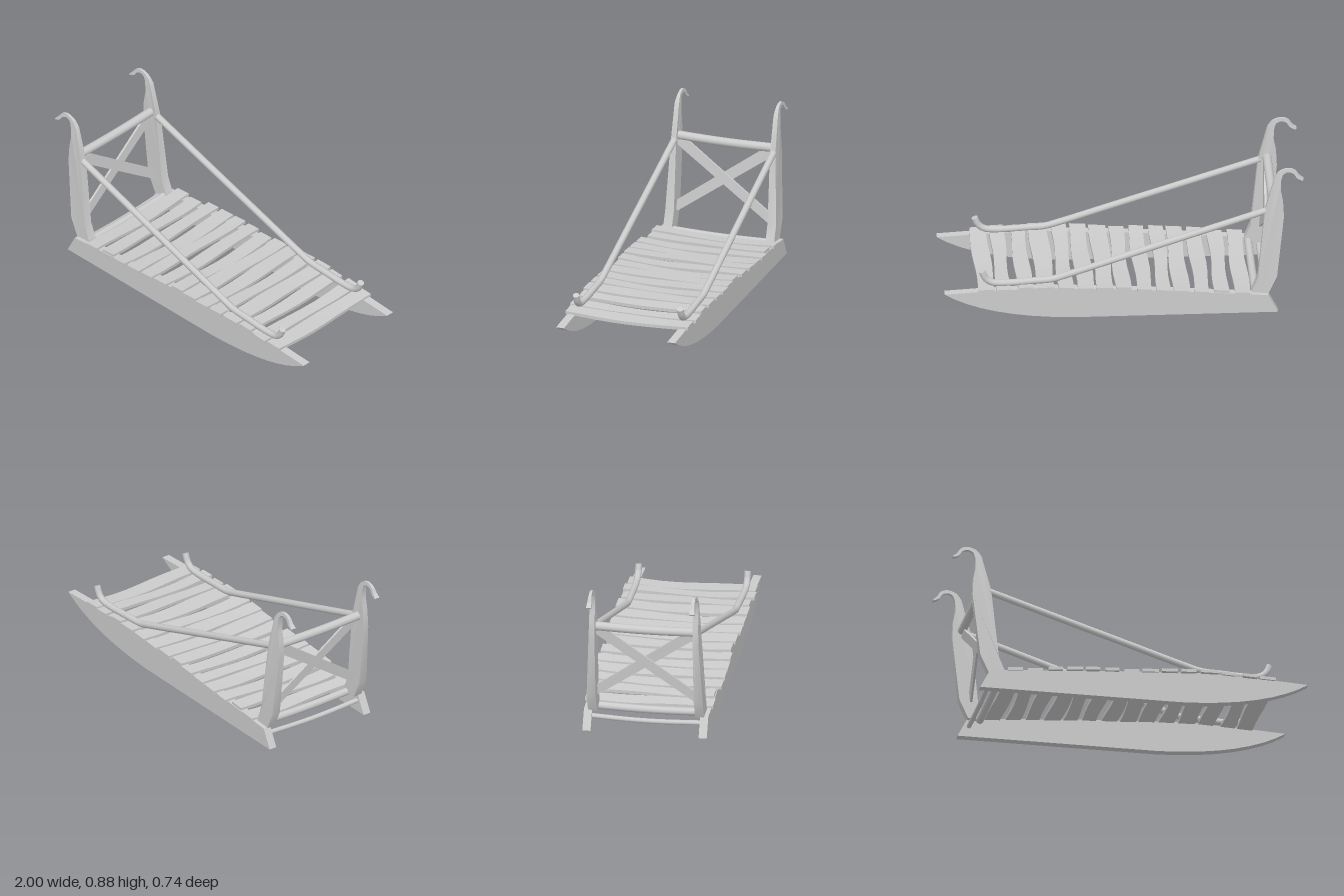
import * as THREE from 'three';
import { toCreasedNormals } from 'three/addons/utils/BufferGeometryUtils.js';

const material = new THREE.MeshStandardMaterial({ color: 0xcccccc, side: THREE.DoubleSide });
const lerp = THREE.MathUtils.lerp;
const step = (v, a, b) => THREE.MathUtils.clamp((v - a) / (b - a), 0, 1);

function part(parent, name, geometry) {
  const mesh = new THREE.Mesh(geometry, material);
  mesh.name = name;
  parent.add(mesh);
  return mesh;
}

// Move every vertex by a rule, then restore the shading
function reshape(geometry, rule, crease = 0.6) {
  const p = geometry.attributes.position;
  const v = new THREE.Vector3();
  for (let i = 0; i < p.count; i++) {
    rule(v.fromBufferAttribute(p, i));
    p.setXYZ(i, v.x, v.y, v.z);
  }
  return toCreasedNormals(geometry, crease);
}

// Side profile given thickness between inner(y) and outer(y), on side s
function sidePlate(shape, s, inner, outer) {
  const g = new THREE.ExtrudeGeometry(shape, { depth: 1, bevelEnabled: false, curveSegments: 8 });
  return reshape(g, (v) => {
    const a = inner(v.y), b = outer(v.y);
    v.z = s > 0 ? lerp(a, b, v.z) : lerp(-b, -a, v.z);
  });
}

// Round bar along a path, closed at both ends
function rod(parent, name, points, radius, segments = 40) {
  const curve = new THREE.CatmullRomCurve3(points.map((p) => new THREE.Vector3(...p)));
  const group = new THREE.Group();
  group.name = name;
  part(group, name + 'Shaft', new THREE.TubeGeometry(curve, segments, radius, 10));
  for (const t of [0, 1]) {
    const cap = part(group, name + 'End', new THREE.CircleGeometry(radius, 10));
    cap.position.copy(curve.getPoint(t));
    const dir = curve.getTangent(t).multiplyScalar(t ? 1 : -1);
    cap.quaternion.setFromUnitVectors(new THREE.Vector3(0, 0, 1), dir);
  }
  parent.add(group);
}

function runnerShape() {
  const s = new THREE.Shape();
  s.moveTo(-0.855, 0);
  s.lineTo(0.28, 0.008);
  s.bezierCurveTo(0.62, 0.02, 0.85, 0.08, 1, 0.178);
  s.lineTo(0.8, 0.188);
  s.lineTo(0.45, 0.2);
  s.lineTo(-0.2, 0.158);
  s.lineTo(-0.8, 0.108);
  s.closePath();
  return s;
}

function postShape() {
  const s = new THREE.Shape();
  s.moveTo(-0.8, 0.1);
  s.lineTo(-0.85, 0.21);
  s.lineTo(-0.89, 0.58);
  s.lineTo(-0.885, 0.68);
  s.lineTo(-0.872, 0.75);
  // hooked handle
  s.lineTo(-0.874, 0.805);
  s.splineThru([[-0.886, 0.842], [-0.915, 0.856], [-0.943, 0.846], [-0.965, 0.818], [-0.995, 0.803]]
    .map((p) => new THREE.Vector2(...p)));
  s.lineTo(-1, 0.811);
  s.splineThru([[-0.977, 0.83], [-0.955, 0.862], [-0.915, 0.876], [-0.868, 0.86], [-0.838, 0.82]]
    .map((p) => new THREE.Vector2(...p)));
  s.lineTo(-0.785, 0.62);
  s.lineTo(-0.745, 0.21);
  s.lineTo(-0.71, 0.12);
  s.lineTo(-0.72, 0.1);
  s.closePath();
  return s;
}

// Height of the runner's upper edge
function deckHeight(x) {
  if (x < -0.2) return lerp(0.108, 0.158, (x + 0.8) / 0.6);
  if (x < 0.45) return lerp(0.158, 0.2, (x + 0.2) / 0.65);
  return lerp(0.2, 0.188, step(x, 0.45, 0.8));
}

// Rough-hewn plank spanning both runners
function slat(x0, x1, halfLength, i) {
  const g = new THREE.BoxGeometry(x1 - x0, 0.018, 2 * halfLength, 1, 1, 8);
  const mid = (x0 + x1) / 2;
  return reshape(g, (v) => {
    const u = v.z / halfLength;
    const inside = 1 - u * u;
    const edge = v.x > 0 ? 1.7 : 0.4;
    v.x += 0.009 * inside * Math.sin(2.6 * u + i * 2.3 + edge);
    v.x += mid;
    v.y += deckHeight(v.x) + 0.006 - 0.012 * inside + 0.004 * Math.sin(i * 1.9 + 2 * u) * inside;
  }, 0.5);
}

export function createModel() {
  const sled = new THREE.Group();
  sled.name = 'sled';

  for (const s of [1, -1]) {
    const side = s > 0 ? 'left' : 'right';
    part(sled, side + 'Runner', sidePlate(runnerShape(), s, () => 0.304, () => 0.35));
    part(sled, side + 'Post', sidePlate(postShape(), s,
      (y) => 0.276 + 0.007 * step(y, 0.8, 0.876),
      (y) => 0.327 - 0.02 * step(y, 0.21, 0.63) - 0.01 * step(y, 0.8, 0.876)));
    // handrail sloping down to an upturned tip
    rod(sled, side + 'Handrail', [
      [-0.8, 0.617, s * 0.292], [-0.4, 0.487, s * 0.295], [0, 0.357, s * 0.299], [0.32, 0.253, s * 0.302],
      [0.4, 0.23, s * 0.303], [0.5, 0.224, s * 0.304], [0.68, 0.217, s * 0.306], [0.74, 0.226, s * 0.307],
      [0.772, 0.252, s * 0.307], [0.79, 0.295, s * 0.307],
    ], 0.019, 64);
  }

  // deck planks: back edge, front edge, half length
  const slats = [
    [-0.7, -0.615, 0.36], [-0.585, -0.5, 0.345], [-0.47, -0.39, 0.37], [-0.365, -0.275, 0.37],
    [-0.26, -0.18, 0.37], [-0.15, -0.07, 0.365], [-0.04, 0.045, 0.35], [0.06, 0.155, 0.36],
    [0.17, 0.26, 0.37], [0.28, 0.365, 0.37], [0.39, 0.49, 0.37], [0.51, 0.59, 0.36],
    [0.63, 0.71, 0.37], [0.725, 0.815, 0.36],
  ];
  const deck = new THREE.Group();
  deck.name = 'deck';
  slats.forEach(([a, b, h], i) => part(deck, 'slat' + (i + 1), slat(a, b, h, i)));
  sled.add(deck);

  // cross bars at the back, each sagging a little
  const bar = (name, x, y, half, r, sag) =>
    rod(sled, name, [[x, y, half], [x, y - sag, 0.08], [x, y - sag, -0.08], [x, y, -half]], r, 16);
  bar('handleBar', -0.835, 0.632, 0.285, 0.025, 0.005);
  bar('upperCrossBar', -0.73, 0.105, 0.31, 0.022, 0.006);
  bar('lowerCrossBar', -0.79, 0.065, 0.31, 0.014, 0.009);

  // crossed flat braces, cut flush against the posts and leaning with them
  for (const s of [1, -1]) {
    const brace = new THREE.Shape([[-0.28, 0.61], [-0.21, 0.61], [0.28, 0.255], [0.28, 0.2], [0.265, 0.2], [-0.28, 0.585]]
      .map(([z, y]) => new THREE.Vector2(s * z, y)));
    const g = new THREE.ExtrudeGeometry(brace, { depth: 0.012, bevelEnabled: false });
    g.rotateY(Math.PI / 2);
    part(sled, s > 0 ? 'braceRising' : 'braceFalling', reshape(g, (v) => {
      v.x += -0.79 - 0.09 * (v.y - 0.2) + (s > 0 ? 0 : -0.012);
    }));
  }
  return sled;
}
